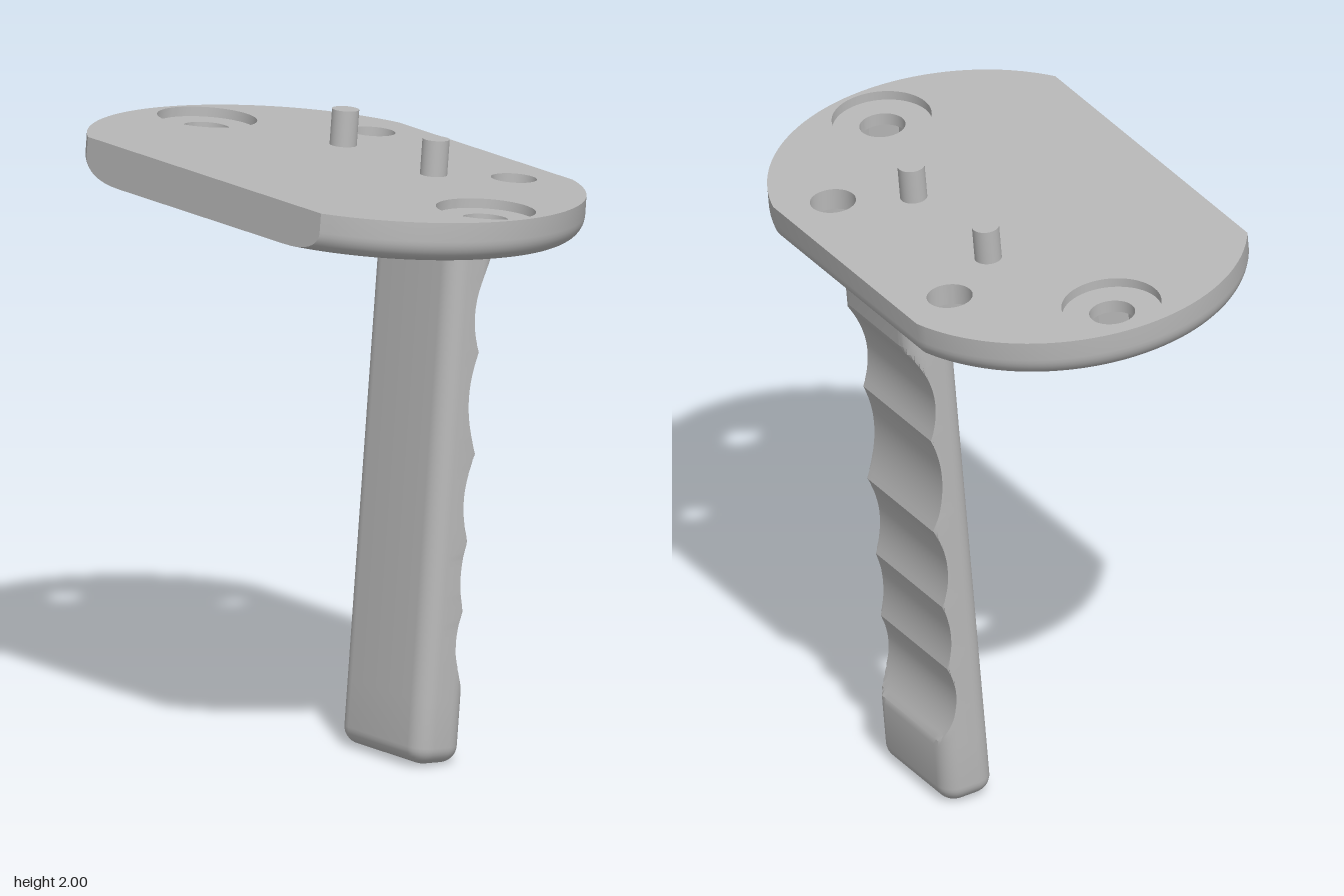
import * as THREE from 'three';
import { toCreasedNormals } from 'three/addons/utils/BufferGeometryUtils.js';

// Closed loops are arrays of [x, z], running from +x towards +z.
const ring = (x, z, r, n) => Array.from({ length: n }, (_, i) => {
  const t = (i / n) * Math.PI * 2;
  return [x + r * Math.cos(t), z + r * Math.sin(t)];
});

// Skin through loops given as { y, pts }; ascending faces out, descending faces in.
function loft(levels) {
  const n = levels[0].pts.length, pos = [], idx = [];
  for (const { y, pts } of levels) for (const [x, z] of pts) pos.push(x, y, z);
  for (let j = 0; j < levels.length - 1; j++) {
    for (let i = 0; i < n; i++) {
      const a = j * n + i, b = j * n + (i + 1) % n;
      idx.push(a, a + n, b, b, a + n, b + n);
    }
  }
  const g = new THREE.BufferGeometry();
  g.setAttribute('position', new THREE.Float32BufferAttribute(pos, 3));
  g.setIndex(idx);
  return toCreasedNormals(g, 0.35);
}

// Flat horizontal face with holes, looking up or down.
function face(pts, holes, y, up) {
  const s = up ? -1 : 1;
  const to2 = (loop) => loop.map(([x, z]) => new THREE.Vector2(x, s * z));
  const shape = new THREE.Shape(to2(pts));
  for (const h of holes) shape.holes.push(new THREE.Path(to2(h)));
  return new THREE.ShapeGeometry(shape).rotateX(s * Math.PI / 2).translate(0, y, 0);
}

// Plate outline, inset by d everywhere except the straight front edge.
function plateLoop(d) {
  const cx = 0.275, cz = 0.03, R = 0.6 - d, n = 40, pts = [];
  const front = Math.asin((0.542 - cz) / R), back = Math.asin((0.577 - d) / R);
  for (let i = 0; i <= n; i++) {
    const t = -back + (front + back) * i / n;
    pts.push([cx + R * Math.cos(t), cz + R * Math.sin(t)]);
  }
  return pts.concat(pts.map(([x, z]) => [-x, z]).reverse());
}

// Handle section: a rounded rectangle, cut off behind zMin.
function handleLoop(d, zMin) {
  const pts = [], r = 0.06, hx = 0.208 - r, hz = 0.0885 - r, n = 8;
  for (let q = 0; q < 4; q++) {
    const sx = q === 0 || q === 3 ? 1 : -1, sz = q < 2 ? 1 : -1;
    for (let i = 0; i <= n; i++) {
      const t = (q + i / n) * Math.PI / 2;
      pts.push([sx * hx + (r - d) * Math.cos(t),
        Math.max(zMin, -0.3765 + sz * hz + (r - d) * Math.sin(t))]);
    }
  }
  return pts;
}

export function createModel() {
  const model = new THREE.Group();
  model.name = 'mountingPlateWithGrip';
  const tilted = new THREE.Group();
  tilted.name = 'tiltedBody';
  tilted.position.y = 1.903;
  tilted.rotation.x = -5 * Math.PI / 180;
  model.add(tilted);

  const grey = new THREE.MeshStandardMaterial({ color: 0xb8b8b8, side: THREE.DoubleSide });
  grey.name = 'grey';
  const add = (name, geometry, parent = tilted) => {
    const m = new THREE.Mesh(geometry, grey);
    m.name = name;
    parent.add(m);
    return m;
  };

  // Plate rim with a rounded lower edge
  const bottom = -0.13, fillet = 0.07, steps = 9;
  const rim = [];
  for (let i = 0; i <= steps; i++) {
    const a = (i / steps) * Math.PI / 2;
    rim.push({ y: bottom + fillet * (1 - Math.cos(a)), pts: plateLoop(fillet * (1 - Math.sin(a))) });
  }
  rim.push({ y: 0, pts: plateLoop(0) });
  add('plateRim', loft(rim));

  // Bolt holes: outer pair counterbored, all with hexagonal nut pockets below
  const topHoles = [], bottomHoles = [], ledge = -0.07;
  for (const side of [-1, 1]) {
    for (const [px, z, bored] of [[0.703, -0.008, true], [0.357, -0.382, false]]) {
      const x = side * px;
      const hole = ring(x, z, 0.071, 40), hex = ring(x, z, 0.092, 6), bore = ring(x, z, 0.154, 56);
      const holeTop = bored ? -0.03 : 0;
      const g = new THREE.Group();
      g.name = bored ? 'counterboredHole' : 'boltHole';
      tilted.add(g);
      topHoles.push(bored ? bore : hole);
      bottomHoles.push(hex);
      add('holeWall', loft([{ y: holeTop, pts: hole }, { y: ledge, pts: hole }]), g);
      add('nutPocketWall', loft([{ y: ledge, pts: hex }, { y: bottom, pts: hex }]), g);
      add('nutPocketFloor', face(hex, [hole], ledge, false), g);
      if (bored) {
        add('counterboreWall', loft([{ y: 0, pts: bore }, { y: holeTop, pts: bore }]), g);
        add('counterboreFloor', face(bore, [hole], holeTop, true), g);
      }
    }
    // Locating pegs
    const peg = new THREE.CylinderGeometry(0.042, 0.042, 0.122, 32);
    add(side > 0 ? 'leftPeg' : 'rightPeg', peg).position.set(side * 0.228, 0.051, -0.17);
  }
  add('plateTop', face(plateLoop(0), topHoles, 0, true));
  add('plateUnderside', face(plateLoop(fillet), bottomHoles, bottom, false));

  // Finger grooves as [y, z]: ridge, valley, ridge, ... from bottom to top
  const grip = [[-1.668, -0.475], [-1.514, -0.4035], [-1.391, -0.423], [-1.273, -0.4025],
    [-1.171, -0.421], [-1.073, -0.395], [-0.899, -0.429], [-0.742, -0.386],
    [-0.579, -0.412], [-0.481, -0.387], [-0.243, -0.473]];
  const base = -1.873, round = 0.055, levels = [];
  for (let i = 0; i <= 8; i++) {
    const a = (i / 8) * Math.PI / 2;
    levels.push({ y: base + round * (1 - Math.cos(a)), pts: handleLoop(round * (1 - Math.sin(a)), -1) });
  }
  for (let k = 0; k + 2 < grip.length; k += 2) {
    const [[y0, z0], [y1, z1], [y2, z2]] = grip.slice(k, k + 3);
    const s1 = (z1 - z0) / (y1 - y0), s2 = (z2 - z1) / (y2 - y1), c = (s2 - s1) / (y2 - y0);
    for (let i = k ? 1 : 0; i <= 14; i++) {
      const y = y0 + (y2 - y0) * i / 14;
      levels.push({ y, pts: handleLoop(0, z0 + s1 * (y - y0) + c * (y - y0) * (y - y1)) });
    }
  }
  levels.push({ y: bottom, pts: handleLoop(0, -1) });
  add('handle', loft(levels));
  add('handleEnd', face(handleLoop(round, -1), [], base, false));

  return model;
}
